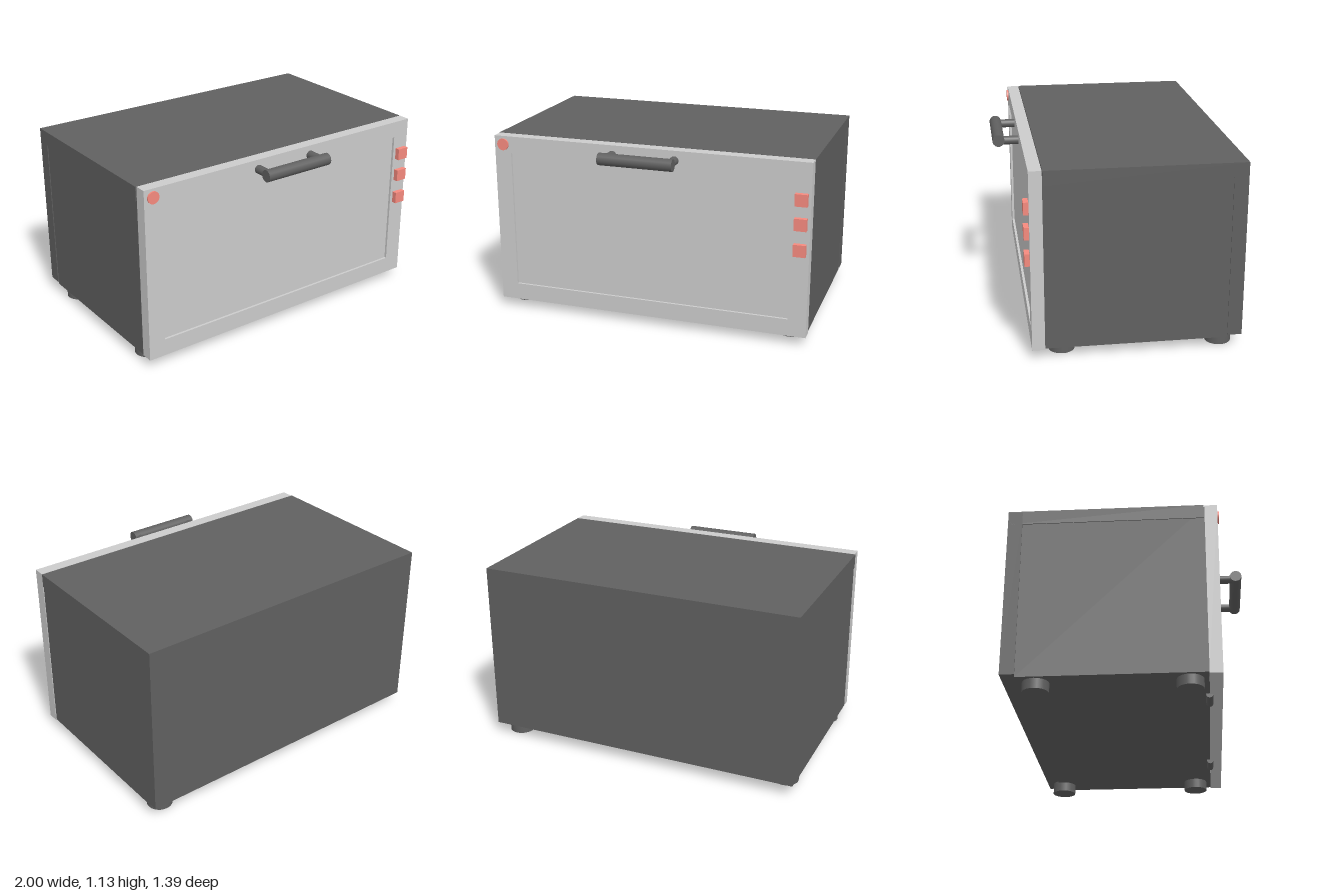
import * as THREE from 'three';

const light = new THREE.MeshStandardMaterial({ color: 0xcccccc });
const dark = new THREE.MeshStandardMaterial({ color: 0x606060 });
const red = new THREE.MeshStandardMaterial({ color: 0xf58a7e });

export function createModel() {
  const oven = new THREE.Group();
  oven.name = 'countertopOven';

  const add = (name, geometry, material, x, y, z) => {
    const mesh = new THREE.Mesh(geometry, material);
    mesh.name = name;
    mesh.position.set(x, y, z);
    oven.add(mesh);
    return mesh;
  };

  // Box given by its lowest and highest corners
  const box = (name, material, [x0, y0, z0], [x1, y1, z1]) =>
    add(name, new THREE.BoxGeometry(x1 - x0, y1 - y0, z1 - z0), material,
      (x0 + x1) / 2, (y0 + y1) / 2, (z0 + z1) / 2);

  // Cylinder along x, y or z
  const rod = (name, material, radius, length, axis, x, y, z, sides = 20) => {
    const geometry = new THREE.CylinderGeometry(radius, radius, length, sides);
    if (axis === 'x') geometry.rotateZ(Math.PI / 2);
    if (axis === 'z') geometry.rotateX(Math.PI / 2);
    return add(name, geometry, material, x, y, z);
  };

  // Casing: main body, with a back panel and top cover standing slightly proud
  box('body', dark, [-0.993, 0.06, -0.61], [0.993, 1.12, 0.46]);
  box('backPanel', dark, [-0.998, 0.075, -0.695], [0.998, 1.125, -0.61]);
  box('topCover', dark, [-0.998, 1.045, -0.695], [0.998, 1.132, 0.457]);

  // Door: frame with a window opening and a shallow recessed pane
  const rectangle = (Type, x0, y0, x1, y1) => {
    const path = new Type();
    path.moveTo(x0, y0);
    path.lineTo(x1, y0);
    path.lineTo(x1, y1);
    path.lineTo(x0, y1);
    path.closePath();
    return path;
  };
  const frame = rectangle(THREE.Shape, -0.992, 0.054, 0.997, 1.132);
  frame.holes.push(rectangle(THREE.Path, -0.885, 0.16, 0.885, 1.028));
  add('doorFrame', new THREE.ExtrudeGeometry(frame, { depth: 0.075, bevelEnabled: false }),
    light, 0, 0, 0.46);
  box('doorPane', light, [-0.89, 0.155, 0.461], [0.89, 1.033, 0.52]);

  // Handle: bar on two posts
  rod('handleBar', dark, 0.037, 0.46, 'x', -0.02, 1.078, 0.657);
  for (const x of [-0.212, 0.178]) rod('handlePost', dark, 0.026, 0.12, 'z', x, 1.073, 0.595);

  // Control buttons and indicator lamp
  for (const y of [0.912, 0.765, 0.607]) {
    box('controlButton', red, [0.905, y - 0.037, 0.53], [0.98, y + 0.037, 0.565]);
  }
  rod('indicatorLamp', red, 0.037, 0.02, 'z', -0.935, 1.08, 0.535, 24);

  // Hinges under the door
  for (const x of [-0.63, 0.48]) rod('doorHinge', dark, 0.021, 0.138, 'x', x, 0.055, 0.46, 12);

  // Feet
  const feet = [[-0.9, 0.355], [0.873, 0.355], [-0.9, -0.505], [0.89, -0.577]];
  for (const [x, z] of feet) rod('foot', dark, 0.077, 0.07, 'y', x, 0.035, z, 24);

  return oven;
}
